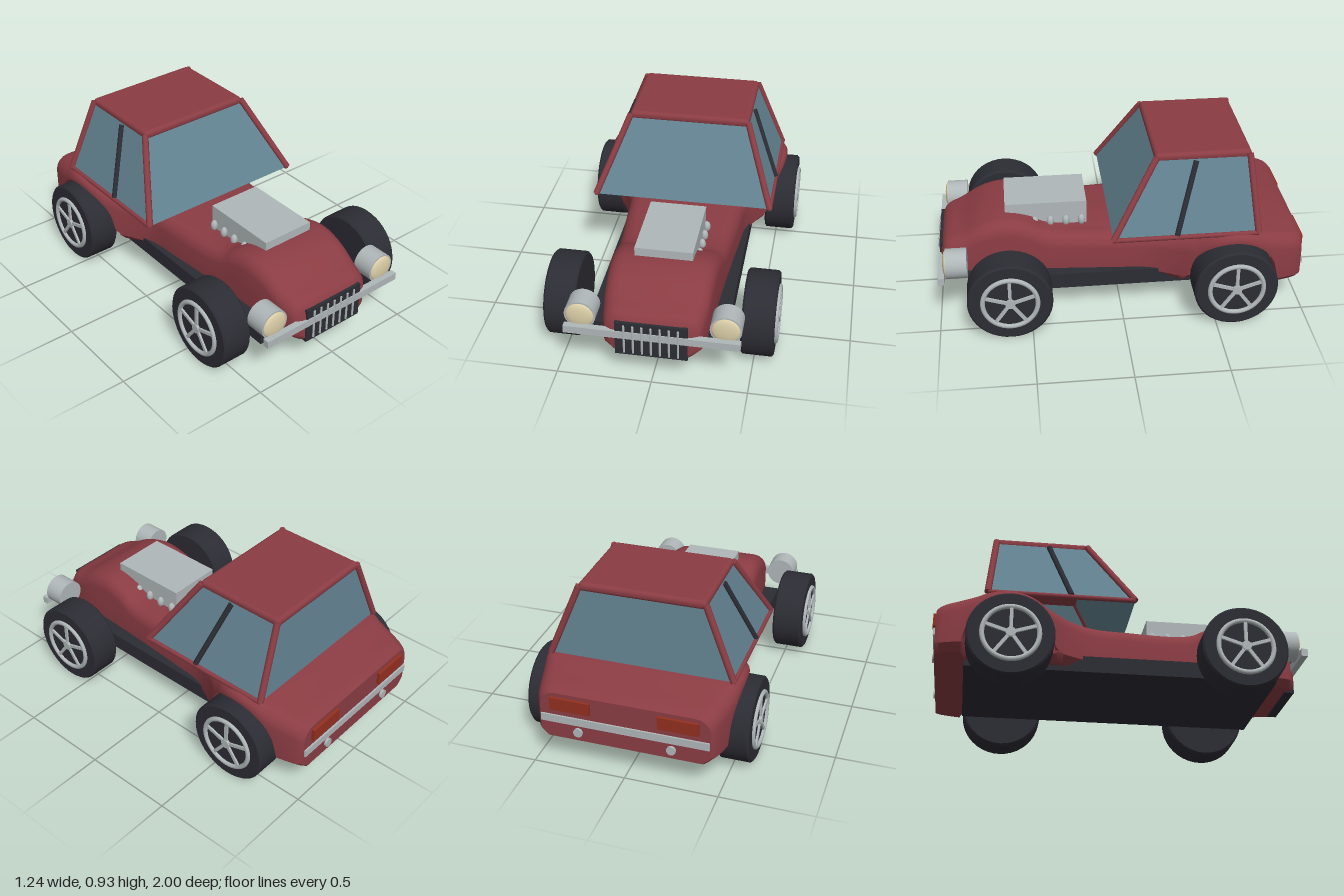
import * as THREE from 'three';
import { toCreasedNormals } from 'three/addons/utils/BufferGeometryUtils.js';
import { RoundedBoxGeometry } from 'three/addons/geometries/RoundedBoxGeometry.js';

const mat = (name, color, side = THREE.FrontSide) => {
  const m = new THREE.MeshStandardMaterial({ color, side });
  m.name = name;
  return m;
};
const V = (x, y, z) => new THREE.Vector3(x, y, z);

export function createModel() {
  const red = mat('bodyRed', 0x8a3c43);
  const glass = mat('glassBlue', 0x628290, THREE.DoubleSide);
  const dark = mat('darkRubber', 0x2c2c34);
  const silver = mat('silver', 0xb0b7b9);
  const cream = mat('lampCream', 0xdccfa8);
  const tail = mat('tailRed', 0x93301f);

  const car = new THREE.Group();
  car.name = 'car';
  const add = (name, geo, material, x = 0, y = 0, z = 0, parent = car) => {
    const m = new THREE.Mesh(geo, material);
    m.name = name;
    m.position.set(x, y, z);
    parent.add(m);
    return m;
  };
  const box = (name, material, w, h, d, x, y, z) =>
    add(name, new THREE.BoxGeometry(w, h, d), material, x, y, z);
  const rod = (name, a, b, r, material) => {
    const m = add(name, new THREE.CylinderGeometry(r, r, a.distanceTo(b), 12), material);
    m.position.copy(a).lerp(b, 0.5);
    m.quaternion.setFromUnitVectors(V(0, 1, 0), b.clone().sub(a).normalize());
    return m;
  };

  // Body shell: cross-sections (half width, top height, z) with arches over the rear wheels
  const spine = new THREE.CatmullRomCurve3([
    V(0.215, 0.345, 0.98), V(0.25, 0.39, 0.95), V(0.27, 0.43, 0.86), V(0.28, 0.49, 0.75),
    V(0.287, 0.517, 0.62), V(0.293, 0.49, 0.49), V(0.298, 0.45, 0.41), V(0.305, 0.433, 0.3),
    V(0.325, 0.43, 0.05), V(0.345, 0.432, -0.15), V(0.4, 0.442, -0.28), V(0.47, 0.467, -0.39),
    V(0.52, 0.5, -0.5), V(0.535, 0.512, -0.6), V(0.53, 0.505, -0.72), V(0.505, 0.475, -0.85),
    V(0.475, 0.45, -0.955), V(0.455, 0.435, -0.983),
  ]);
  const wheelY = 0.228, frontZ = 0.615, rearZ = -0.6;
  const section = ({ x: w, y: top, z }) => {
    const dz = Math.abs(z - rearZ), R = 0.24;
    const inArch = dz < R;
    const low = inArch ? Math.min(w, 0.42) : w;
    const mid = inArch ? Math.max(0.22, Math.min(top - 0.03, wheelY + Math.sqrt(R * R - dz * dz))) : 0.22;
    const r = Math.min(0.08, (top - mid) * 0.8);
    const half = [[low - 0.04, 0.17], [low, 0.21], [low, mid], [w, mid + 0.002]];
    for (let k = 0; k <= 4; k++) {
      const a = (k / 4) * Math.PI / 2;
      half.push([w - r + r * Math.cos(a), top - r + r * Math.sin(a)]);
    }
    return [...half, ...half.slice().reverse().map(([x, y]) => [-x, y])].map(([x, y]) => [x, y, z]);
  };
  const steps = 84, pos = [], idx = [];
  let n = 0;
  for (let i = 0; i <= steps; i++) {
    const ring = section(spine.getPoint(i / steps));
    n = ring.length;
    pos.push(...ring.flat());
  }
  for (let i = 0; i < steps; i++) {
    for (let j = 0; j < n; j++) {
      const a = i * n + j, b = i * n + (j + 1) % n, c = b + n, d = a + n;
      idx.push(a, d, b, d, c, b);
    }
  }
  const last = steps * n;
  for (let j = 1; j < n - 1; j++) idx.push(0, j, j + 1, last, last + j + 1, last + j);
  const shell = new THREE.BufferGeometry();
  shell.setAttribute('position', new THREE.Float32BufferAttribute(pos, 3));
  shell.setIndex(idx);
  add('body', toCreasedNormals(shell, 0.7), red);

  box('chassis', dark, 0.73, 0.09, 1.67, 0, 0.185, 0.005);

  // Cabin: glass panes, pillars, sills and roof
  const corner = (s, top, front) => top
    ? V(s * 0.335, 0.9, front ? -0.19 : -0.69)
    : V(s * 0.495, 0.51, front ? 0.055 : -0.725);
  const pane = (name, a, b, c, d) => {
    const g = new THREE.BufferGeometry().setFromPoints([a, b, c, a, c, d]);
    g.computeVertexNormals();
    add(name, g, glass);
  };
  for (const front of [true, false]) {
    const s = front ? 1 : -1;
    pane(front ? 'windscreen' : 'rearWindow', corner(-s, false, front), corner(s, false, front),
      corner(s, true, front), corner(-s, true, front));
  }
  for (const s of [1, -1]) {
    pane('sideWindow', corner(s, false, s < 0), corner(s, false, s > 0),
      corner(s, true, s > 0), corner(s, true, s < 0));
    for (const front of [true, false]) {
      rod('pillar', corner(s, false, front), corner(s, true, front).add(V(0, 0.008, 0)), 0.018, red);
    }
    rod('windowSill', corner(s, false, true), corner(s, false, false), 0.013, red);
    rod('windowDivider', V(s * 0.495, 0.52, -0.285), V(s * 0.346, 0.885, -0.4), 0.015, dark);
  }
  add('roof', new RoundedBoxGeometry(0.68, 0.05, 0.52, 4, 0.022), red, 0, 0.902, -0.44);

  // Engine block with stub pipes
  box('engine', silver, 0.31, 0.14, 0.45, 0, 0.495, 0.395);
  for (const s of [1, -1]) {
    for (let i = 0; i < 4; i++) {
      const p = add('enginePipe', new THREE.SphereGeometry(0.02, 12, 8), silver, s * 0.165, 0.455, 0.2 + i * 0.086);
      p.scale.y = 1.6;
    }
  }

  // Grille, bumpers and lamps
  box('grille', dark, 0.375, 0.2, 0.05, 0, 0.26, 0.963);
  for (let i = -3; i <= 3; i++) {
    add('grilleBar', new THREE.CylinderGeometry(0.006, 0.006, 0.17, 8), silver, i * 0.0465, 0.26, 0.991);
  }
  box('frontBumper', silver, 0.91, 0.042, 0.035, 0, 0.285, 0.977);
  box('rearBumper', silver, 0.9, 0.042, 0.02, 0, 0.285, -0.983);
  for (const s of [1, -1]) {
    add('headlampShell', new THREE.CylinderGeometry(0.082, 0.082, 0.115, 28), silver, s * 0.375, 0.35, 0.893)
      .rotation.x = Math.PI / 2;
    const lens = add('headlampLens', new THREE.SphereGeometry(0.074, 24, 8, 0, Math.PI * 2, 0, Math.PI / 2),
      cream, s * 0.375, 0.35, 0.95);
    lens.rotation.x = Math.PI / 2;
    lens.scale.y = 0.25;
    box('tailLamp', tail, 0.215, 0.07, 0.03, s * 0.288, 0.378, -0.985);
    add('exhaust', new THREE.CylinderGeometry(0.025, 0.025, 0.06, 16), silver, s * 0.25, 0.222, -0.966)
      .rotation.x = Math.PI / 2;
  }

  // Wheels: tyre, rim ring, hub and five spokes
  const tyre = new THREE.LatheGeometry([
    [0, -0.085], [0.218, -0.085], [0.228, -0.075], [0.228, 0.075], [0.218, 0.085], [0, 0.085],
  ].map(([r, y]) => new THREE.Vector2(r, y)), 40);
  const tyreGeo = toCreasedNormals(tyre, 0.6);
  const rimGeo = new THREE.TorusGeometry(0.146, 0.013, 10, 40);
  const hubGeo = new THREE.CylinderGeometry(0.026, 0.026, 0.026, 20);
  const spokeGeo = new THREE.BoxGeometry(0.018, 0.14, 0.018);
  spokeGeo.translate(0, 0.075, 0);
  for (const s of [1, -1]) {
    for (const z of [frontZ, rearZ]) {
      const wheel = new THREE.Group();
      wheel.name = z > 0 ? 'frontWheel' : 'rearWheel';
      wheel.position.set(s * 0.52, wheelY, z);
      wheel.rotation.y = s * Math.PI / 2;
      car.add(wheel);
      add('tyre', tyreGeo, dark, 0, 0, 0, wheel).rotation.x = Math.PI / 2;
      add('rim', rimGeo, silver, 0, 0, 0.088, wheel);
      add('hub', hubGeo, silver, 0, 0, 0.088, wheel).rotation.x = Math.PI / 2;
      for (let i = 0; i < 5; i++) {
        add('spoke', spokeGeo, silver, 0, 0, 0.087, wheel).rotation.z = i * Math.PI * 2 / 5;
      }
    }
  }
  return car;
}
